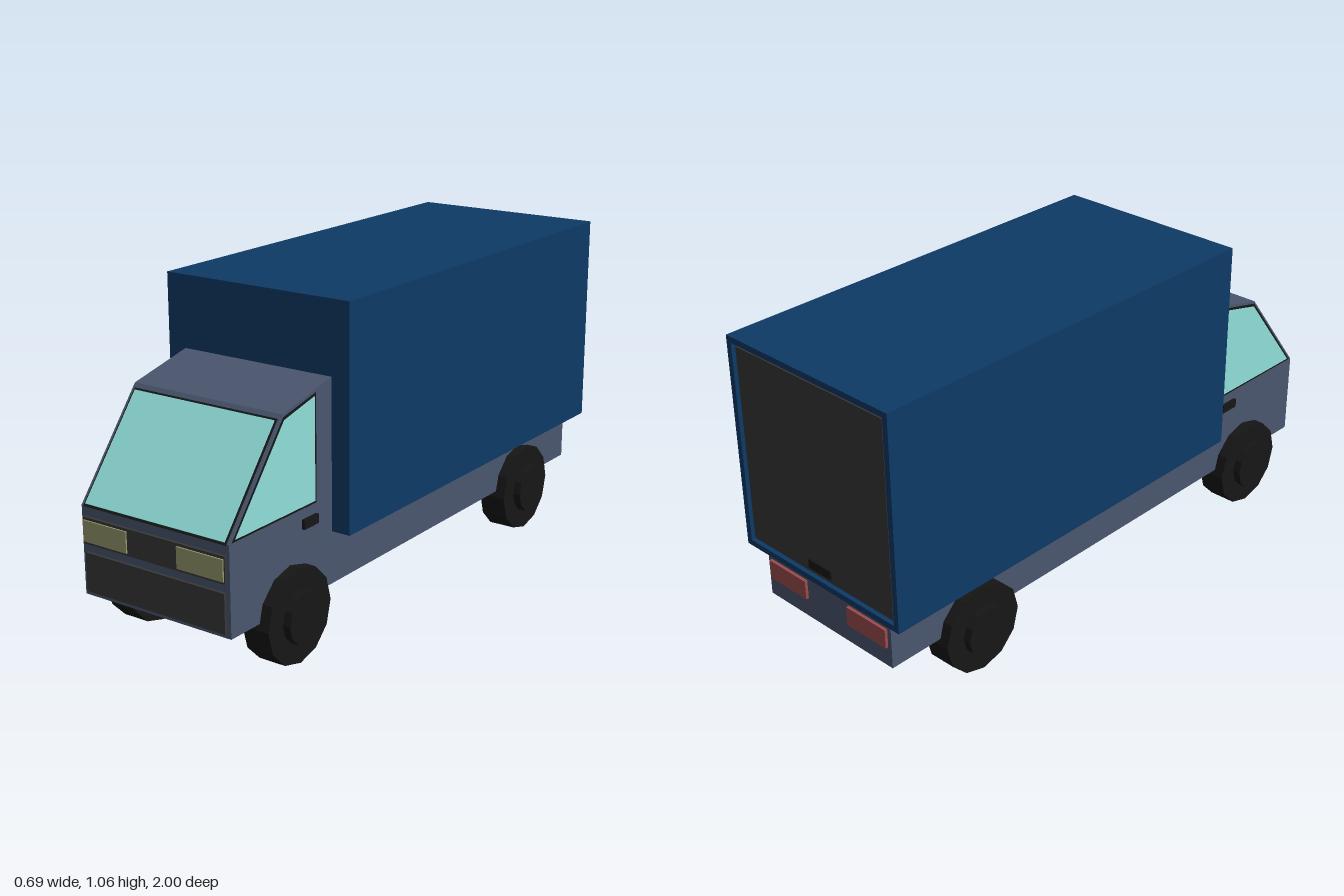
import * as THREE from 'three';

const mat = (color) => new THREE.MeshStandardMaterial({ color, flatShading: true });

export function createModel() {
  const truck = new THREE.Group();
  truck.name = 'boxTruck';
  const paint = mat(0x4a566f), cargoBlue = mat(0x0e3a66), dark = mat(0x383838), black = mat(0x161616);
  const glass = mat(0x90dfda), lamp = mat(0x96986c), red = mat(0x9c4c4c);

  const add = (name, geometry, material, x = 0, y = 0, z = 0) => {
    const mesh = new THREE.Mesh(geometry, material);
    mesh.name = name;
    mesh.position.set(x, y, z);
    truck.add(mesh);
    return mesh;
  };
  const box = (name, size, at, material) => add(name, new THREE.BoxGeometry(...size), material, ...at);
  // Extrudes a (z, y) side profile across the width, centred on x = 0
  const sideProfile = (points, width) => {
    const shape = new THREE.Shape(points.map(([z, y]) => new THREE.Vector2(z, y)));
    return new THREE.ExtrudeGeometry(shape, { depth: width, bevelEnabled: false })
      .translate(0, 0, -width / 2).rotateY(-Math.PI / 2);
  };

  // Cab and chassis in one profile
  add('cabAndChassis', sideProfile([
    [0.985, 0.175], [0.985, 0.46], [0.735, 0.775], [0.5, 0.83],
    [0.5, 0.345], [-0.975, 0.345], [-0.975, 0.175],
  ], 0.56), paint);

  // Cargo box with a raised rim around the rear door
  box('cargoBox', [0.69, 0.72, 1.485], [0, 0.705, -0.2425], cargoBlue);
  const rect = (T, w, h) => new T([[-w, -h], [w, -h], [w, h], [-w, h]].map(([x, y]) => new THREE.Vector2(x, y)));
  const rim = rect(THREE.Shape, 0.345, 0.36);
  rim.holes.push(rect(THREE.Path, 0.325, 0.34));
  add('rearDoorFrame', new THREE.ExtrudeGeometry(rim, { depth: 0.015, bevelEnabled: false }),
    cargoBlue, 0, 0.705, -1);
  box('rearDoor', [0.63, 0.66, 0.01], [0, 0.705, -0.988], dark);
  box('rearDoorHandle', [0.1, 0.03, 0.01], [0, 0.405, -0.994], black);

  // Windscreen and its seal, lying on the sloped front
  const slope = -Math.atan2(0.25, 0.315);
  box('windscreenSeal', [0.54, 0.388, 0.006], [0, 0.61, 0.866], black).rotation.x = slope;
  box('windscreen', [0.528, 0.374, 0.012], [0, 0.61, 0.866], glass).rotation.x = slope;

  // Side windows run right through the cab, slightly proud of the doors
  add('sideWindowSeal', sideProfile([[0.974, 0.463], [0.734, 0.766], [0.578, 0.802], [0.578, 0.463]], 0.562), black);
  add('sideWindows', sideProfile([[0.96, 0.47], [0.731, 0.757], [0.586, 0.792], [0.586, 0.47]], 0.565), glass);

  // Front grille panels
  box('upperGrille', [0.54, 0.085, 0.012], [0, 0.385, 0.988], dark);
  box('lowerGrille', [0.53, 0.125, 0.012], [0, 0.252, 0.988], dark);

  for (const side of [1, -1]) {
    const name = side > 0 ? 'left' : 'right';
    box(name + 'Headlight', [0.17, 0.068, 0.012], [side * 0.181, 0.385, 0.993], lamp);
    box(name + 'TailLight', [0.17, 0.065, 0.012], [side * 0.18, 0.277, -0.979], red);
    box(name + 'DoorHandle', [0.012, 0.03, 0.07], [side * 0.284, 0.415, 0.615], black);

    // Twelve-sided tyres with a raised hub
    for (const [end, z] of [['Front', 0.71], ['Rear', -0.635]]) {
      add(name + end + 'Tyre', new THREE.CylinderGeometry(0.152, 0.152, 0.095, 12).rotateZ(Math.PI / 2),
        black, side * 0.268, 0.155, z);
      add(name + end + 'Hub', new THREE.CylinderGeometry(0.084, 0.084, 0.04, 12).rotateZ(Math.PI / 2),
        black, side * 0.322, 0.155, z);
    }
  }
  return truck;
}
